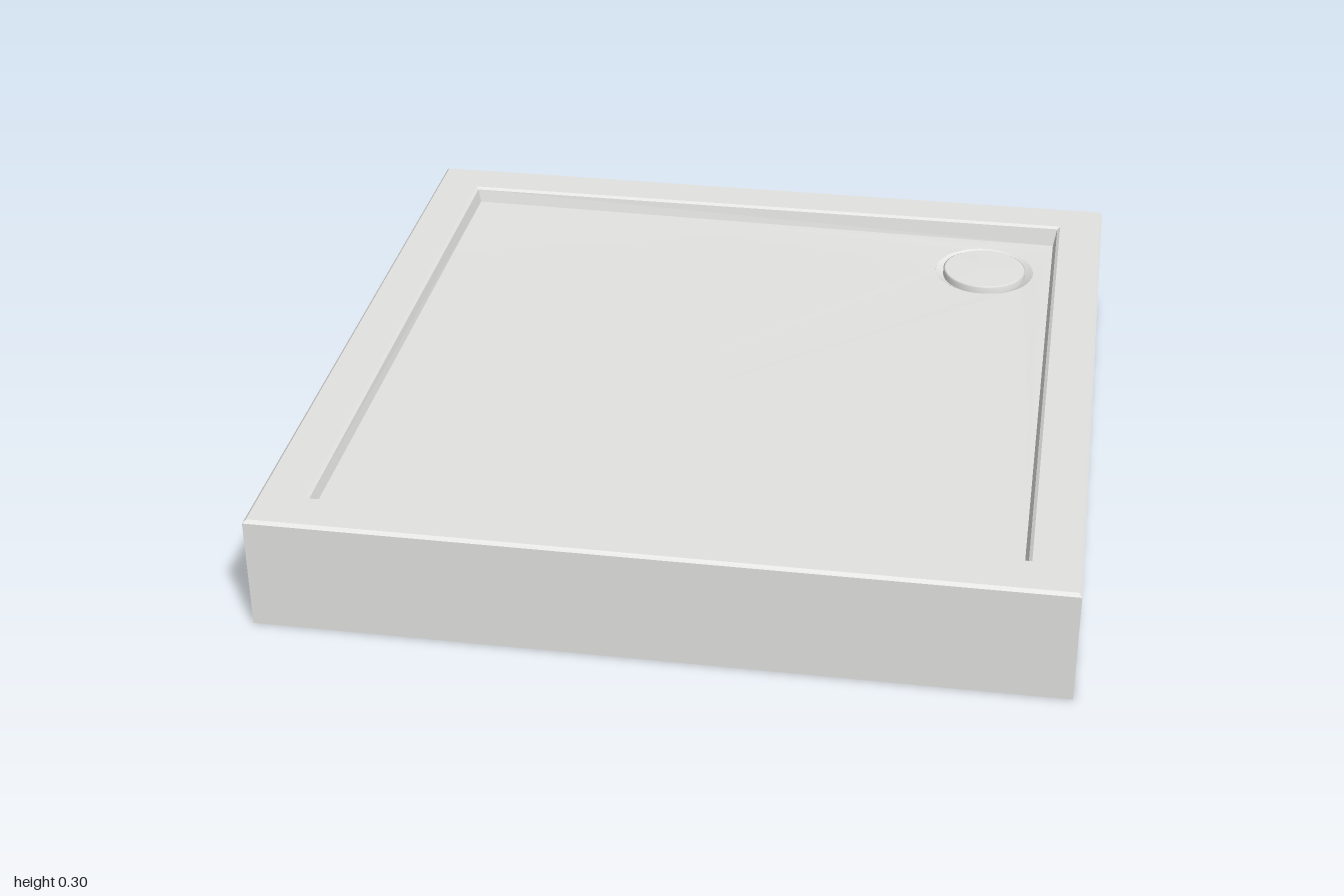
import * as THREE from 'three';

const DRAIN = { x: 0.673, z: -0.677 };
const DIP_R = 0.14;

// floor height: falls gently towards the drain
const floorY = (x, z) => 0.24 + 0.012 * Math.hypot(x - DRAIN.x, z - DRAIN.z);

const square = (h) => [[-h, -h], [h, -h], [h, h], [-h, h]].map(([x, y]) => new THREE.Vector2(x, y));

// square sweep of a [half width, height] profile
function squareLathe(profile) {
  const pts = profile.map(([h, y]) => new THREE.Vector2(h * Math.SQRT2, y));
  return new THREE.LatheGeometry(pts, 4, Math.PI / 4).toNonIndexed();
}

function circleHole(r) {
  return new THREE.Path().absarc(DRAIN.x, -DRAIN.z, r, 0, Math.PI * 2, true);
}

export function createModel() {
  const group = new THREE.Group();
  const mat = (name, color) => {
    const m = new THREE.MeshStandardMaterial({ color });
    m.name = name;
    return m;
  };
  const white = mat('white acrylic', 0xe2e2e0);
  const beige = mat('beige backing', 0xded7bd);
  const black = mat('black outlet', 0x1c1e1d);
  const add = (name, geometry, material) => {
    const m = new THREE.Mesh(geometry, material);
    m.name = name;
    group.add(m);
    return m;
  };

  // outer skirt, bevelled rim and basin walls that meet the sloping floor
  const inner = 0.863;
  const shell = squareLathe([
    [0.957, 0], [1, 0], [1, 0.292], [0.992, 0.3],
    [0.88, 0.3], [0.872, 0.294], [inner, -1],
  ]);
  const p = shell.attributes.position;
  for (let i = 0; i < p.count; i++) {
    if (p.getY(i) < -0.5) p.setY(i, floorY(p.getX(i), p.getZ(i)));
  }
  shell.computeVertexNormals();
  add('trayShell', shell, white);

  // basin floor with a round opening at the drain
  const floorShape = new THREE.Shape(square(inner));
  floorShape.holes.push(circleHole(DIP_R));
  const floor = new THREE.ShapeGeometry(floorShape, 48).rotateX(-Math.PI / 2);
  const f = floor.attributes.position;
  for (let i = 0; i < f.count; i++) f.setY(i, floorY(f.getX(i), f.getZ(i)));
  floor.computeVertexNormals();
  add('basinFloor', floor, white);

  // countersunk ring and drain cover
  const lathe = (pts) => new THREE.LatheGeometry(pts.map(([r, y]) => new THREE.Vector2(r, y)), 48);
  const place = (mesh) => mesh.position.set(DRAIN.x, 0, DRAIN.z);
  place(add('drainDip', lathe([[DIP_R, 0.24 + 0.012 * DIP_R], [0.112, 0.226]]), white));
  place(add('drainCoverEdge', lathe([[0.118, 0.22], [0.118, 0.247], [0.113, 0.25]]), white));
  place(add('drainCoverTop', lathe([[0.113, 0.25], [0, 0.252]]), white));

  // inside of the skirt and the backing sheet under the tray
  const lining = squareLathe([[0.957, 0.16], [0.957, 0]]);
  lining.computeVertexNormals();
  add('skirtLining', lining, beige);
  const sheet = new THREE.ShapeGeometry(new THREE.Shape(square(0.957))).rotateX(Math.PI / 2);
  add('backingSheet', sheet, beige).position.y = 0.16;

  // support block with a round bite out of the drain corner
  const a = 0.845, r = 0.36, cx = DRAIN.x, cy = -DRAIN.z;
  const dx = a - cx, dy = a - cy;
  const sy = Math.sqrt(r * r - dx * dx), sx = Math.sqrt(r * r - dy * dy);
  const block = new THREE.Shape();
  block.moveTo(-a, a);
  block.lineTo(-a, -a);
  block.lineTo(a, -a);
  block.lineTo(a, cy - sy);
  block.absarc(cx, cy, r, Math.atan2(-sy, dx), Math.atan2(dy, -sx), true);
  block.closePath();
  const slab = new THREE.ExtrudeGeometry(block, { depth: 0.15, bevelEnabled: false, curveSegments: 48 });
  slab.rotateX(-Math.PI / 2);
  add('supportBlock', slab, white).position.y = 0.01;

  // outlet opening seen from below
  const outlet = new THREE.CircleGeometry(0.09, 40).rotateX(Math.PI / 2);
  add('drainOutlet', outlet, black).position.set(DRAIN.x, 0.157, DRAIN.z);

  return group;
}
